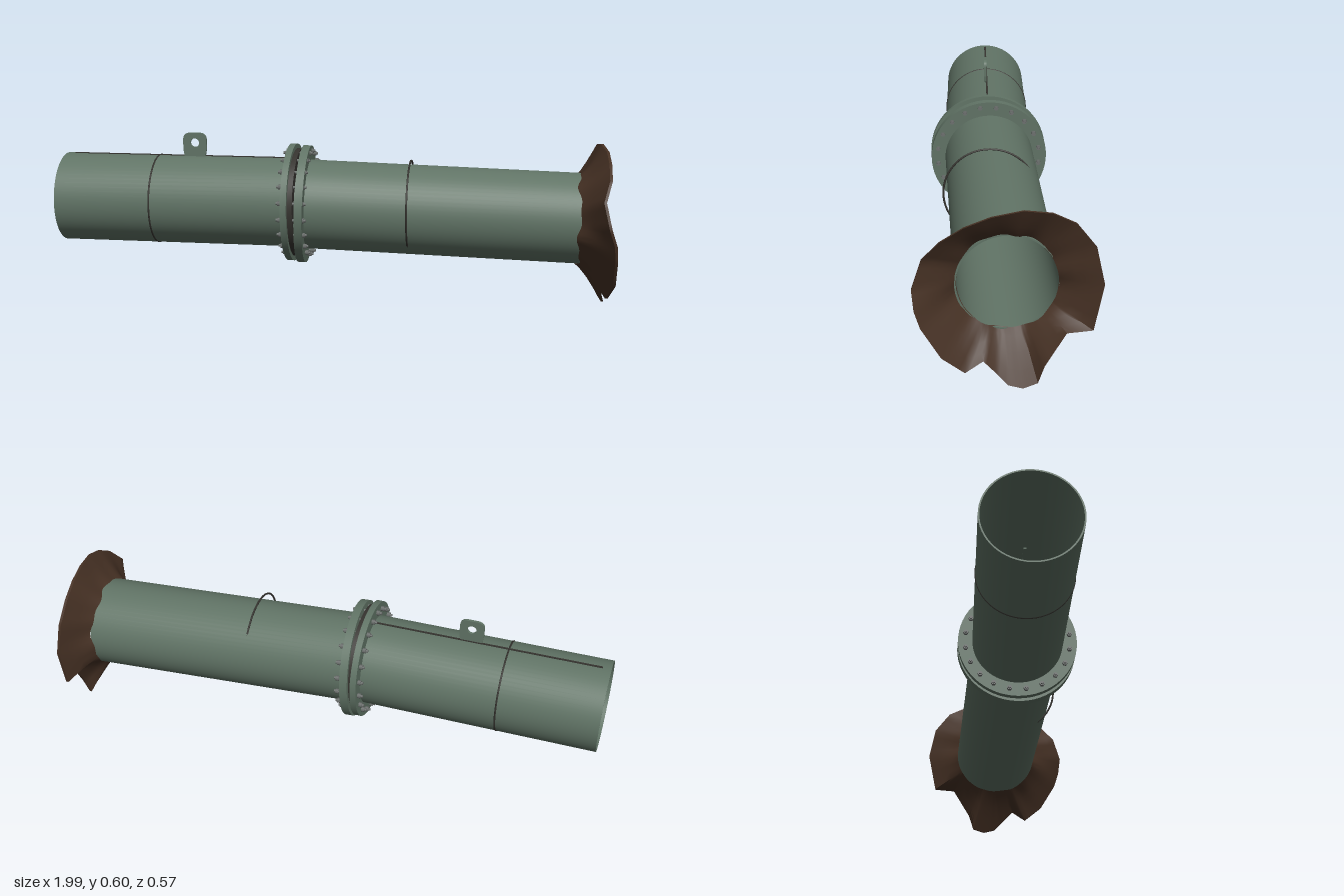
import * as THREE from 'three';
import { toCreasedNormals } from 'three/addons/utils/BufferGeometryUtils.js';

const mat = (name, color, side = THREE.FrontSide) => {
  const m = new THREE.MeshStandardMaterial({ color, side });
  m.name = name;
  return m;
};

export function createModel() {
  const green = mat('green paint', 0x617466);
  const rust = mat('rusty brown', 0x463124, THREE.DoubleSide);
  const dark = mat('dark weld', 0x35332f);
  const steel = mat('bolt steel', 0x6c706e);

  const model = new THREE.Group();
  model.name = 'brokenPipe';

  const add = (parent, name, geometry, material) => {
    const mesh = new THREE.Mesh(geometry, material);
    mesh.name = name;
    parent.add(mesh);
    return mesh;
  };

  // Hollow ring or tube along x, from x0 to x1
  const sleeve = (rIn, rOut, x0, x1) => {
    const profile = [[rIn, x0], [rOut, x0], [rOut, x1], [rIn, x1], [rIn, x0]]
      .map(([r, x]) => new THREE.Vector2(r, x));
    return toCreasedNormals(new THREE.LatheGeometry(profile, 64).rotateZ(-Math.PI / 2), 0.6);
  };
  const weldRing = () => new THREE.TorusGeometry(0.16, 0.0035, 6, 64).rotateY(Math.PI / 2);

  // Straight section, and a second section bent slightly off the axis
  const straight = new THREE.Group();
  straight.name = 'straightSection';
  straight.position.set(0, 0.35, 0.042);
  const bent = new THREE.Group();
  bent.name = 'bentSection';
  const start = new THREE.Vector3(-0.13, 0.345, 0.041);
  const end = new THREE.Vector3(0.87, 0.313, 0);
  bent.position.copy(start);
  bent.quaternion.setFromUnitVectors(
    new THREE.Vector3(1, 0, 0), end.clone().sub(start).normalize());
  model.add(straight, bent);

  add(straight, 'straightPipe', sleeve(0.156, 0.161, -1, -0.13), green);
  add(bent, 'bentPipe', sleeve(0.156, 0.161, 0, 1.012), green);

  // Flanges with a gasket between them
  add(straight, 'straightFlange', sleeve(0.157, 0.212, -0.162, -0.14), green);
  add(straight, 'gasket', sleeve(0.157, 0.195, -0.14, -0.122), dark);
  add(bent, 'bentFlange', sleeve(0.157, 0.212, 0.008, 0.036), green);

  // Bolts around the flanges
  const bolts = new THREE.Group();
  bolts.name = 'flangeBolts';
  straight.add(bolts);
  const count = 20;
  const rod = (r, length, sides) =>
    new THREE.CylinderGeometry(r, r, length, sides).rotateZ(Math.PI / 2);
  for (let i = 0; i < count; i++) {
    const a = ((i + 0.5) / count) * Math.PI * 2;
    const bolt = new THREE.Group();
    bolt.name = 'bolt';
    bolt.position.set(-0.128, Math.cos(a) * 0.187, Math.sin(a) * 0.187);
    add(bolt, 'boltShank', rod(0.005, 0.106, 8), steel);
    add(bolt, 'boltHead', rod(0.009, 0.012, 6), steel).position.x = -0.04;
    add(bolt, 'boltNut', rod(0.009, 0.012, 6), steel).position.x = 0.041;
    bolts.add(bolt);
  }

  // Weld seams; the second ring stays on the old axis and is partly buried
  add(straight, 'weldRing', weldRing(), dark).position.x = -0.648;
  add(straight, 'looseWeldRing', weldRing(), dark).position.x = 0.273;
  add(straight, 'longWeld', new THREE.BoxGeometry(0.8, 0.005, 0.007), dark)
    .position.set(-0.57, 0.161, 0);

  // Lifting lug with an eye
  const w = 0.043, h = 0.095, c = 0.026;
  const lugShape = new THREE.Shape();
  lugShape.moveTo(-w + 0.006, 0);
  lugShape.lineTo(w - 0.006, 0);
  lugShape.lineTo(w, 0.035);
  lugShape.lineTo(w, h - c);
  lugShape.quadraticCurveTo(w, h, w - c, h);
  lugShape.lineTo(-w + c, h);
  lugShape.quadraticCurveTo(-w, h, -w, h - c);
  lugShape.lineTo(-w, 0.035);
  lugShape.closePath();
  lugShape.holes.push(new THREE.Path().absarc(0, 0.059, 0.016, 0, Math.PI * 2, true));
  const lug = new THREE.ExtrudeGeometry(lugShape, { depth: 0.01, bevelEnabled: false, curveSegments: 10 });
  add(model, 'liftingLug', lug, green).position.set(-0.513, 0.501, 0.042);

  // Torn flared end: rim corners as z, y, x
  const rim = [
    [0.285, 0.335, 0.965], [0.278, 0.275, 0.985], [0.26, 0.22, 0.99], [0.2, 0.12, 0.99],
    [0.13, 0.057, 0.97], [0.075, 0.088, 0.955], [0.035, 0.045, 0.955], [0, 0.01, 0.965],
    [-0.045, 0, 0.968], [-0.09, 0.01, 0.955], [-0.11, 0.075, 0.965], [-0.175, 0.18, 0.955],
    [-0.255, 0.183, 0.945], [-0.285, 0.335, 0.945], [-0.26, 0.45, 0.935], [-0.2, 0.525, 0.93],
    [-0.13, 0.56, 0.935], [-0.045, 0.573, 0.945], [0.05, 0.56, 0.96], [0.13, 0.53, 0.965],
    [0.2, 0.485, 0.965], [0.255, 0.42, 0.945],
  ];
  const sub = 4, cols = rim.length * sub;
  // Profile steps: [distance to rim, base radius, x offset], outside then inside
  const steps = [
    ...[0, 0.15, 0.4, 0.7, 1].map(t => [t, 0.1625, 0]),
    ...[1, 0.7, 0.4, 0.15, 0].map(t => [t, 0.1545, 0.009]),
  ];
  const pos = [], index = [];
  for (const [t, r, off] of steps) {
    for (let i = 0; i < cols; i++) {
      const p = rim[Math.floor(i / sub)], q = rim[(Math.floor(i / sub) + 1) % rim.length];
      const [z, y, x] = p.map((v, k) => THREE.MathUtils.lerp(v, q[k], (i % sub) / sub));
      const a = Math.atan2(y - end.y, z);
      const baseX = 0.868 + 0.006 * Math.sin(5 * a) + 0.004 * Math.sin(11 * a + 1);
      pos.push(
        THREE.MathUtils.lerp(baseX, x - 0.006, Math.pow(t, 0.85)) + off,
        THREE.MathUtils.lerp(end.y + Math.sin(a) * r, y, t),
        THREE.MathUtils.lerp(Math.cos(a) * r, z, t));
    }
  }
  for (let j = 0; j < steps.length - 1; j++) {
    for (let i = 0; i < cols; i++) {
      const n = (i + 1) % cols;
      const a = j * cols + i, b = j * cols + n, d = a + cols, e = b + cols;
      index.push(a, b, d, b, e, d);
    }
  }
  const flare = new THREE.BufferGeometry();
  flare.setAttribute('position', new THREE.Float32BufferAttribute(pos, 3));
  flare.setIndex(index);
  add(model, 'tornFlare', toCreasedNormals(flare, 0.7), rust);

  return model;
}
